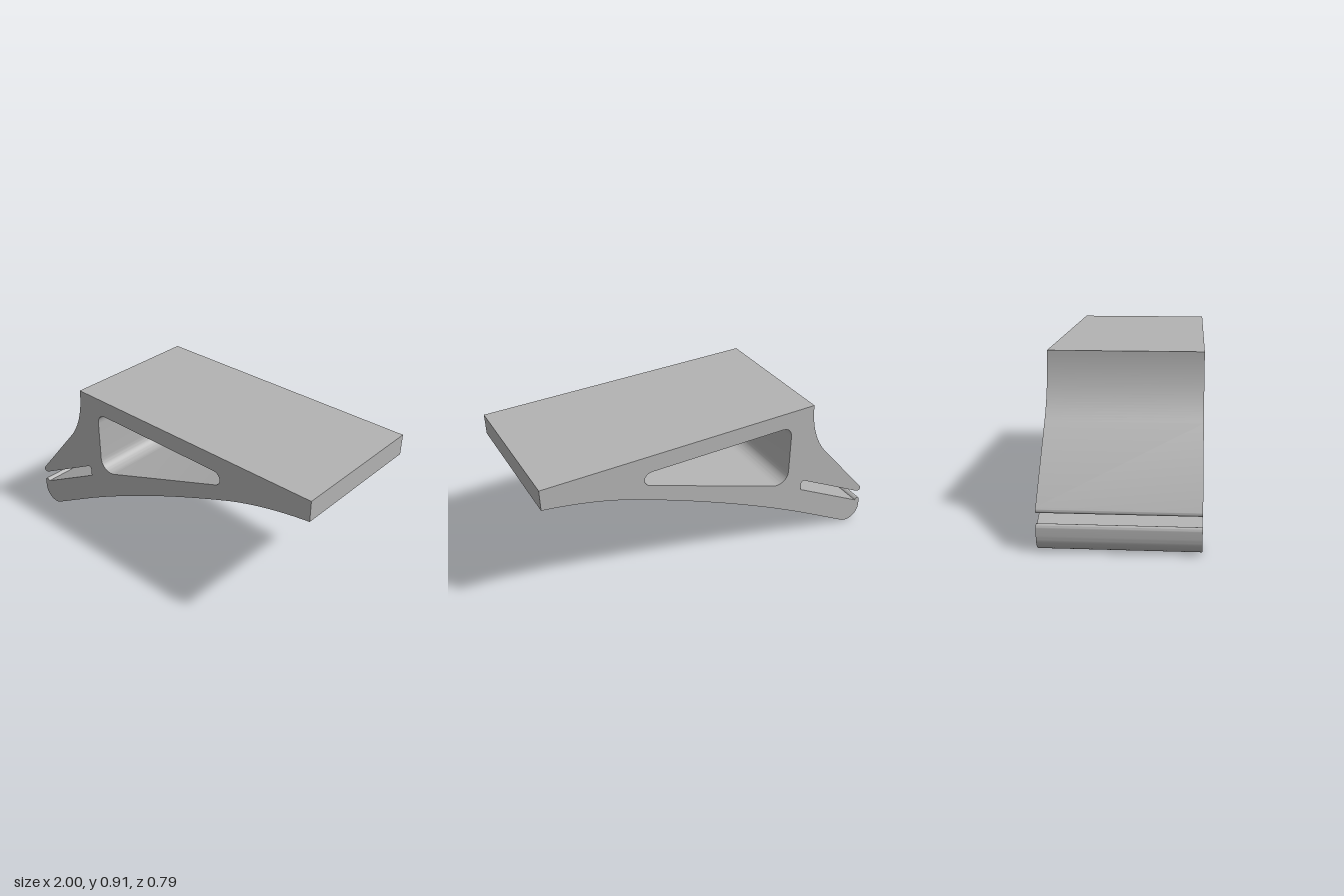
import * as THREE from 'three';
import { toCreasedNormals } from 'three/addons/utils/BufferGeometryUtils.js';

const WIDTH = 0.785;

// Side profile of the bracket, including the open clip slot
function bracketProfile() {
  const s = new THREE.Shape();
  s.moveTo(-0.58, 0.91);
  // concave back edge down to the upper jaw
  s.bezierCurveTo(-0.58, 0.77, -0.625, 0.655, -0.695, 0.575);
  s.lineTo(-0.992, 0.228);
  s.bezierCurveTo(-1.005, 0.21, -0.997, 0.195, -0.97, 0.2);
  // clip slot
  s.lineTo(-0.565, 0.418);
  s.quadraticCurveTo(-0.54, 0.428, -0.54, 0.405);
  s.lineTo(-0.54, 0.364);
  s.lineTo(-0.966, 0.133);
  // rounded lower jaw
  s.bezierCurveTo(-0.975, 0.152, -1, 0.15, -1, 0.125);
  s.lineTo(-1, 0.09);
  s.bezierCurveTo(-1, 0.02, -0.935, -0.015, -0.88, 0.012);
  // long arched underside
  s.lineTo(-0.6, 0.17);
  s.bezierCurveTo(-0.25, 0.365, 0.15, 0.545, 0.52, 0.683);
  s.bezierCurveTo(0.68, 0.74, 0.84, 0.775, 1, 0.795);
  s.lineTo(1, 0.91);
  s.closePath();
  return s;
}

// Rounded triangular window
function windowHole() {
  const h = new THREE.Path();
  h.moveTo(-0.375, 0.815);
  h.lineTo(0.41, 0.815);
  h.bezierCurveTo(0.462, 0.812, 0.468, 0.75, 0.42, 0.735);
  h.lineTo(-0.345, 0.458);
  h.bezierCurveTo(-0.395, 0.443, -0.442, 0.475, -0.442, 0.525);
  h.lineTo(-0.442, 0.748);
  h.quadraticCurveTo(-0.442, 0.815, -0.375, 0.815);
  return h;
}

export function createModel() {
  const grey = new THREE.MeshStandardMaterial({ color: 0xb2b2b2 });
  grey.name = 'light grey';

  const profile = bracketProfile();
  profile.holes.push(windowHole());

  const extruded = new THREE.ExtrudeGeometry(profile, { depth: WIDTH, bevelEnabled: false, curveSegments: 20 });
  extruded.translate(0, 0, -WIDTH / 2);

  const bracket = new THREE.Mesh(toCreasedNormals(extruded, 0.5), grey);
  bracket.name = 'clipBracket';

  const model = new THREE.Group();
  model.name = 'shelfClip';
  model.add(bracket);
  return model;
}
